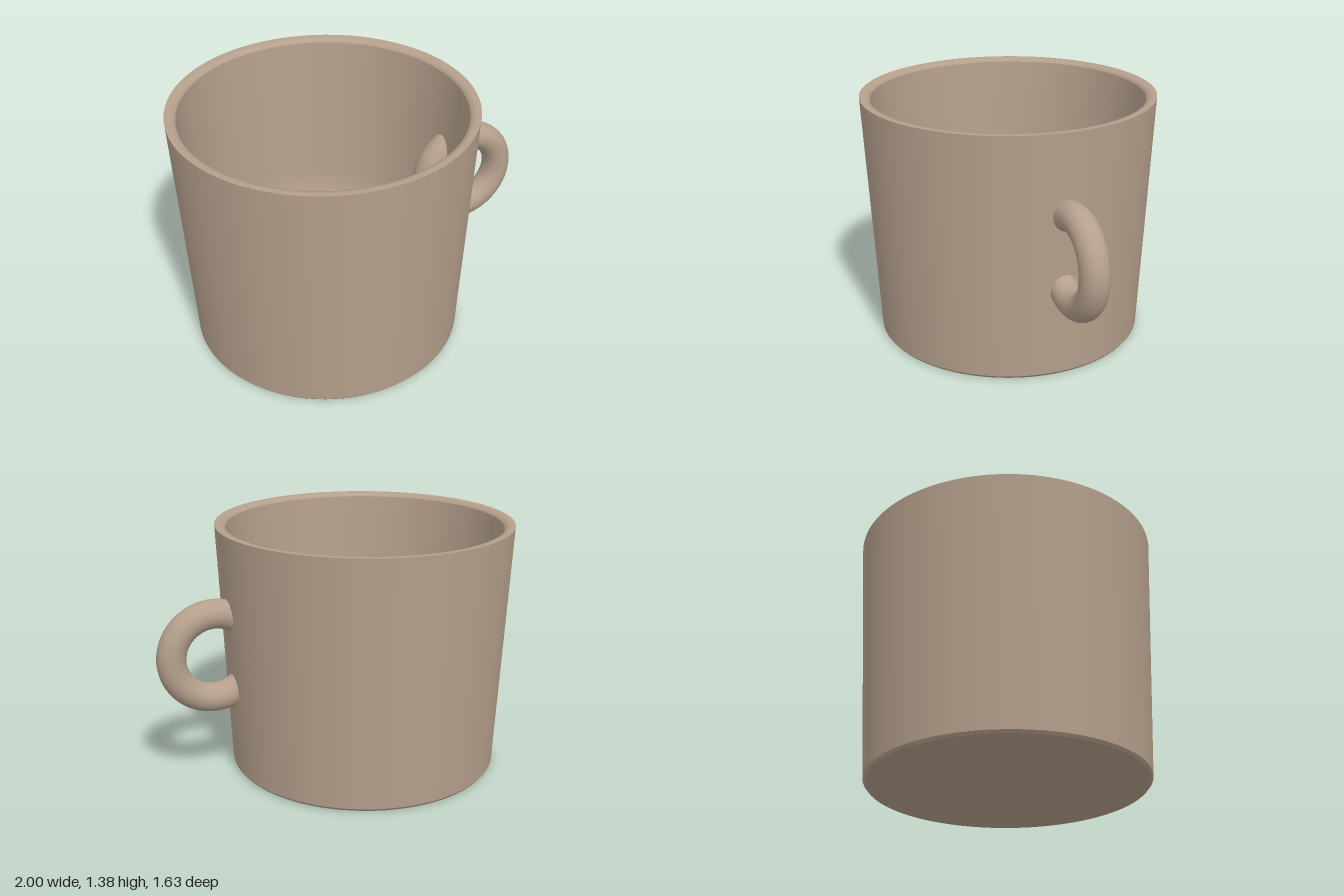
import * as THREE from 'three';

const SEGMENTS = 96;
const CENTRE_X = -0.187;

export function createModel() {
  const mug = new THREE.Group();
  mug.name = 'mug';
  const clay = new THREE.MeshStandardMaterial({ color: 0xb5a08c });

  // Each surface of revolution is its own mesh, so edges between them stay crisp
  const body = new THREE.Group();
  body.name = 'body';
  body.position.x = CENTRE_X;
  mug.add(body);
  const turn = (name, profile) => {
    const points = profile.map(([r, y]) => new THREE.Vector2(r, y));
    const mesh = new THREE.Mesh(new THREE.LatheGeometry(points, SEGMENTS), clay);
    mesh.name = name;
    body.add(mesh);
  };

  // Outside: flat base, small bevel, tapered wall
  turn('base', [[0, 0], [0.738, 0]]);
  turn('baseBevel', [[0.738, 0], [0.75, 0.015]]);
  turn('outerWall', [[0.75, 0.015], [0.813, 1.375]]);

  // Lip, easing into the cup
  turn('rim', [[0.813, 1.375], [0.785, 1.375], [0.765, 1.37], [0.755, 1.355]]);

  // Inside: tapered wall curving in to a flat floor
  const curve = new THREE.CubicBezierCurve(
    new THREE.Vector2(0.7, 0.5), new THREE.Vector2(0.685, 0.28),
    new THREE.Vector2(0.58, 0.15), new THREE.Vector2(0.44, 0.07));
  turn('innerWall', [[0.755, 1.355], [0.73, 1.0],
    ...curve.getPoints(12).map((p) => [p.x, p.y])]);
  turn('floor', [[0.44, 0.07], [0, 0.07]]);

  // Ring handle passing through the wall
  const handle = new THREE.Mesh(new THREE.TorusGeometry(0.234, 0.079, 24, 72), clay);
  handle.name = 'handle';
  handle.position.set(0.687, 0.716, 0);
  mug.add(handle);

  return mug;
}
